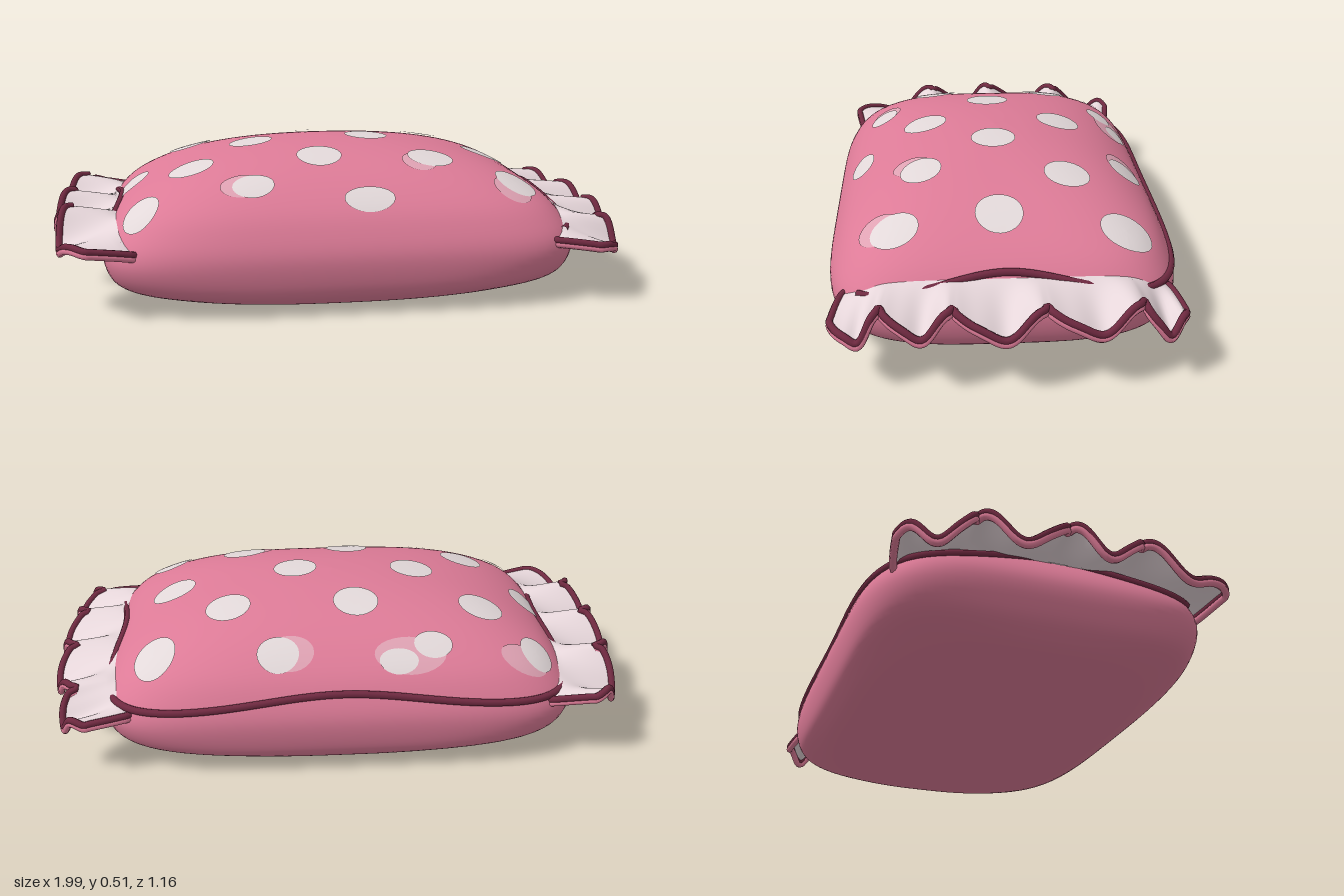
import * as THREE from 'three';

const mat = (name, color, side = THREE.FrontSide) => {
  const m = new THREE.MeshStandardMaterial({ color, side });
  m.name = name;
  return m;
};

// Half-length, half-depth, and section from the top centre round to the bottom centre
const A = 0.82, B = 0.578;
const profile = new THREE.SplineCurve([
  [0, 0.51], [0.25, 0.5], [0.5, 0.47], [0.7, 0.422], [0.86, 0.354], [0.95, 0.283], [1, 0.2],
  [0.98, 0.1], [0.92, 0.05], [0.82, 0.021], [0.6, 0.006], [0.3, 0.001], [0, 0],
].map(p => new THREE.Vector2(...p))).getPoints(72);

// Rings grow from elliptical at the centre to a rounded rectangle at the seam
const topPower = s => 2.2 + 3.3 * s * s;
const basePower = s => 2 + 3.5 * s ** 11;

function ringPoint(s, y, angle) {
  const c = Math.cos(angle), n = Math.sin(angle);
  const p = y < 0.2 ? basePower(s) : topPower(s);
  const k = s * Math.pow(Math.abs(c) ** p + Math.abs(n) ** p, -1 / p);
  return new THREE.Vector3(A * c * k, y, B * n * k);
}

// Height of the upper surface above a ground position
function topHeight(x, z) {
  let s = 0.7;
  for (let i = 0; i < 16; i++) {
    const p = topPower(s);
    s = Math.min(0.985, Math.pow(Math.abs(x / A) ** p + Math.abs(z / B) ** p, 1 / p));
  }
  const i = Math.max(1, profile.findIndex(q => q.x >= s));
  const a = profile[i - 1], b = profile[i];
  return a.y + (b.y - a.y) * (s - a.x) / (b.x - a.x);
}

// Point on the seam, which dips towards the corners
function seamPoint(angle) {
  const y = 0.3 + 0.01 * Math.cos(2 * angle) - 0.06 * Math.sin(2 * angle) ** 2;
  const i = profile.findIndex(q => q.y <= y);
  const a = profile[i - 1], b = profile[i];
  return ringPoint(a.x + (b.x - a.x) * (y - a.y) / (b.y - a.y), y, angle);
}

// Indexed surface from a grid of points
function gridGeometry(rows, cols, pointAt, closed = false) {
  const pos = [], index = [];
  for (let i = 0; i < rows; i++) for (let j = 0; j < cols; j++) pos.push(...pointAt(i, j).toArray());
  for (let i = 0; i < rows - 1; i++) {
    for (let j = 0; j < (closed ? cols : cols - 1); j++) {
      const k = (j + 1) % cols;
      const a = i * cols + j, d = i * cols + k, b = a + cols, c = d + cols;
      index.push(a, d, b, b, d, c);
    }
  }
  const g = new THREE.BufferGeometry();
  g.setAttribute('position', new THREE.Float32BufferAttribute(pos, 3));
  g.setIndex(index);
  g.computeVertexNormals();
  return g;
}

const cord = (points, radius) =>
  new THREE.TubeGeometry(new THREE.CatmullRomCurve3(points), points.length * 2, radius, 8);

// Fabric disc draped over the top of the cushion
function drapedDisc(x, z, rx, rz, lift) {
  const g = new THREE.RingGeometry(0, 1, 28, 5);
  g.rotateX(-Math.PI / 2).scale(rx, 1, rz).translate(x, 0, z);
  const p = g.attributes.position;
  for (let i = 0; i < p.count; i++) p.setY(i, topHeight(p.getX(i), p.getZ(i)) + lift);
  g.computeVertexNormals();
  return g;
}

// Point on a frill: a runs along the side, b runs outward, notches part the lobes
function frillPoint(side, notches, amp, lift, a, b) {
  const n = Math.max(1, notches.findIndex(q => q >= a));
  const phase = Math.PI * (a - notches[n - 1]) / (notches[n] - notches[n - 1]);
  const t = 2 * a - 1;
  const rootZ = 0.5 * t;
  const rootX = 0.77 * Math.pow(1 - Math.abs(rootZ / B) ** 5.5, 1 / 5.5);
  const outX = 0.85 + 0.075 * (1 - t * t) + 0.06 * Math.sqrt(Math.sin(phase));
  const wave = amp * Math.cos(2 * phase) + 0.008 * Math.sin(4 * phase);
  return new THREE.Vector3(
    side * (rootX + (outX - rootX) * b),
    0.295 + (lift - 0.05) * b + wave * Math.pow(b, 0.8) - 0.075 * t ** 6,
    rootZ + 0.045 * t * Math.sqrt(b),
  );
}

export function createModel() {
  const model = new THREE.Group();
  model.name = 'ruffledCushion';
  const pink = mat('pinkFabric', 0xdd7b97);
  const white = mat('whiteDots', 0xe2d8d9);
  const blush = mat('blushDots', 0xdfa2b3);
  const frill = mat('paleFrill', 0xe6d6da, THREE.DoubleSide);
  const maroon = mat('maroonTrim', 0x702a41);
  const add = (name, geometry, material, parent = model) => {
    const mesh = new THREE.Mesh(geometry, material);
    mesh.name = name;
    parent.add(mesh);
  };

  // Stuffed body
  const seg = 160;
  add('cushionBody', gridGeometry(profile.length, seg, (i, j) =>
    ringPoint(Math.max(profile[i].x, 0.0005), profile[i].y, j / seg * Math.PI * 2), true), pink);

  // Polka dots: x, z, radius x, radius z
  const dots = new THREE.Group();
  dots.name = 'polkaDots';
  model.add(dots);
  const r = 0.078;
  [
    [-0.505, -0.225, r, r], [-0.065, -0.24, r, r], [0.375, -0.225, r, r],
    [-0.29, 0.01, r, r], [0.135, 0.01, r, r], [0.575, 0.015, r, r],
    [-0.51, 0.21, r, r], [-0.07, 0.25, r, r], [0.32, 0.265, 0.08, 0.07],
    [0.62, -0.39, 0.07, 0.085], [0.21, -0.45, 0.07, 0.055], [-0.19, -0.48, 0.065, 0.035],
    [-0.31, -0.43, 0.065, 0.045], [-0.67, -0.4, 0.055, 0.065], [-0.72, 0, 0.06, 0.085],
    [-0.68, 0.4, 0.06, 0.075], [-0.31, 0.41, 0.07, 0.05], [0.07, 0.475, 0.085, 0.04],
    [0.605, 0.35, 0.07, 0.078],
  ].forEach(d => add('dot', drapedDisc(...d, 0.006), white, dots));
  // Fainter second print beside some dots
  [
    [0.17, -0.445, 0.08, 0.055], [-0.23, -0.46, 0.12, 0.055], [-0.62, -0.44, 0.08, 0.05],
    [-0.345, 0.4, 0.075, 0.052], [0.275, 0.295, 0.06, 0.065], [0.58, 0.4, 0.065, 0.065],
  ].forEach(d => add('faintDot', drapedDisc(...d, 0.0035), blush, dots));

  // Piping along both ends and the back
  const seam = [];
  for (let i = 0; i <= 120; i++) seam.push(seamPoint(Math.PI * (0.23 - 1.46 * i / 120)));
  add('seamPiping', cord(seam, 0.013), maroon);

  // Frill with two-tone bound edge at each end
  for (const [side, notches, amp, lift] of [
    [1, [0, 0.13, 0.4, 0.66, 0.86, 1], 0.036, 0],
    [-1, [0, 0.21, 0.47, 0.7, 1], 0.05, 0.03],
  ]) {
    const group = new THREE.Group();
    group.name = side > 0 ? 'leftFrill' : 'rightFrill';
    model.add(group);
    const at = (a, b) => frillPoint(side, notches, amp, lift, a, b);
    add('frillCloth', gridGeometry(10, 121, (i, j) => at(j / 120, i / 9)), frill, group);
    const edge = [];
    for (let i = 0; i < 8; i++) edge.push(at(0, i / 8));
    for (let i = 0; i <= 100; i++) edge.push(at(i / 100, 1));
    for (let i = 7; i >= 0; i--) edge.push(at(1, i / 8));
    add('frillBinding', cord(edge, 0.012), maroon, group);
    const under = edge.map(p => new THREE.Vector3(p.x, p.y - 0.014, p.z));
    add('frillUnderBinding', cord(under, 0.012), pink, group);
  }
  return model;
}
